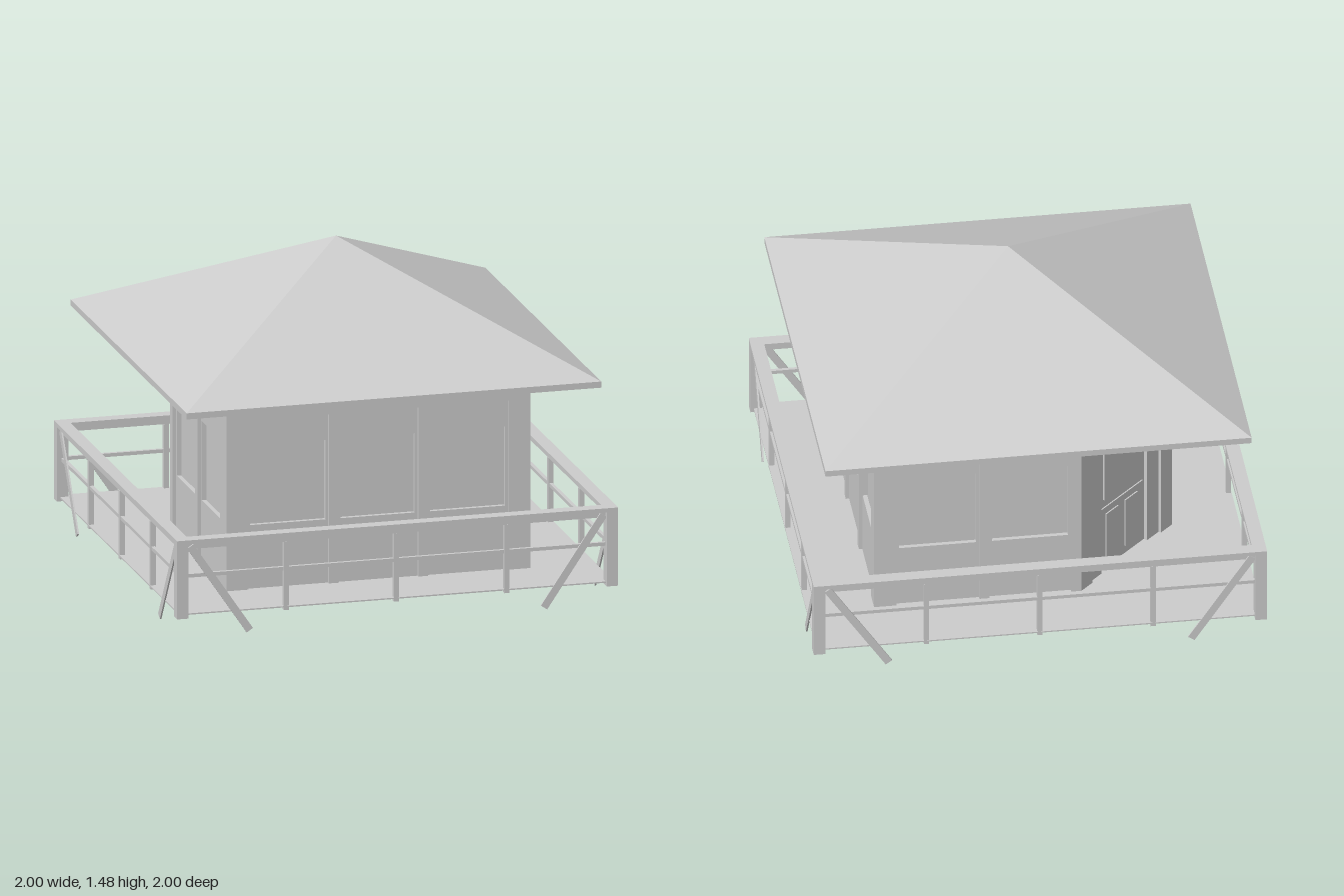
import * as THREE from 'three';

const grey = new THREE.MeshStandardMaterial({ color: 0xcccccc });
grey.name = 'plain grey';

// Box given by its min and max on each axis
function box(parent, name, x0, x1, y0, y1, z0, z1) {
  const mesh = new THREE.Mesh(new THREE.BoxGeometry(x1 - x0, y1 - y0, z1 - z0), grey);
  mesh.position.set((x0 + x1) / 2, (y0 + y1) / 2, (z0 + z1) / 2);
  mesh.name = name;
  parent.add(mesh);
  return mesh;
}

function rectangle(Type, x0, x1, y0, y1) {
  const r = new Type();
  r.moveTo(x0, y0);
  r.lineTo(x1, y0);
  r.lineTo(x1, y1);
  r.lineTo(x0, y1);
  r.closePath();
  return r;
}

const FLOOR = 0.11, HEAD = 0.88, EAVE = 0.98, W = 0.69;
const BAYS = [[-0.59, -0.225], [-0.18, 0.18], [0.225, 0.59]];

// One wall facing +z, with a window in each listed bay
function windowWall(name, bays) {
  const wall = new THREE.Group();
  wall.name = name;
  const first = bays[0], last = bays[bays.length - 1];
  const left = first === BAYS[0] ? -0.59 : -0.225;
  const right = last === BAYS[2] ? 0.59 : 0.225;
  box(wall, 'header', left, right, HEAD, EAVE, W - 0.05, W);
  for (const m of [-0.2025, 0.2025]) {
    box(wall, 'mullion', m - 0.0225, m + 0.0225, FLOOR, HEAD, W - 0.05, W);
  }
  for (const [a, b] of bays) {
    const panel = rectangle(THREE.Shape, a, b, FLOOR, HEAD);
    panel.holes.push(rectangle(THREE.Path, a + 0.012, b - 0.012, 0.4, 0.76));
    const geo = new THREE.ExtrudeGeometry(panel, { depth: 0.02, bevelEnabled: false });
    const infill = new THREE.Mesh(geo, grey);
    infill.name = 'bayPanel';
    infill.position.z = W - 0.035;
    wall.add(infill);
    box(wall, 'windowPane', a, b, 0.38, 0.78, W - 0.05, W - 0.04);
  }
  return wall;
}

// Diagonal entrance across one corner, built facing +z
function entrance() {
  const g = new THREE.Group();
  g.name = 'entrance';
  const half = 0.329;
  box(g, 'doorHeader', -half, half, HEAD, EAVE, -0.05, 0);
  box(g, 'doorLintel', -0.25, 0.25, 0.84, HEAD, -0.05, -0.012);
  for (const s of [-1, 1]) {
    const span = (a, b) => [Math.min(s * a, s * b), Math.max(s * a, s * b)];
    box(g, 'doorPost', ...span(0.25, half), FLOOR, HEAD, -0.05, 0);
    box(g, 'doorJamb', ...span(0.165, 0.25), FLOOR, 0.84, -0.05, -0.012);
    box(g, 'lowerDoorPanel', ...span(0.025, 0.115), 0.15, 0.39, -0.03, -0.024);
  }
  box(g, 'door', -0.165, 0.165, FLOOR, 0.84, -0.05, -0.03);
  box(g, 'doorLockRail', -0.15, 0.15, 0.415, 0.43, -0.03, -0.024);
  box(g, 'upperDoorPanel', -0.13, 0.13, 0.47, 0.76, -0.03, -0.024);
  g.position.set(-0.4575, 0, -0.4575);
  g.rotation.y = -Math.PI * 0.75;
  return g;
}

// One side of the gallery railing, facing +z
function railing() {
  const g = new THREE.Group();
  g.name = 'railing';
  box(g, 'capRail', -1, 0.94, 0.43, 0.448, 0.94, 1);
  box(g, 'cornerPost', -1, -0.948, 0.093, 0.43, 0.948, 1);
  box(g, 'upperRail', -0.948, 0.948, 0.403, 0.43, 0.962, 0.982);
  box(g, 'middleRail', -0.948, 0.948, 0.273, 0.289, 0.964, 0.98);
  for (const x of [-0.5, 0, 0.5]) {
    box(g, 'baluster', x - 0.0115, x + 0.0115, 0.093, 0.403, 0.96, 0.983);
  }
  // Slanted braces
  const dx = 0.27, dy = 0.4;
  for (const s of [-1, 1]) {
    const len = Math.hypot(dx, dy);
    const brace = box(g, 'brace', -0.017, 0.017, -len / 2, len / 2, 0.982, 0.989);
    brace.position.x = s * 0.802;
    brace.position.y = 0.216;
    brace.rotation.z = -s * Math.atan2(dx, dy);
  }
  return g;
}

export function createModel() {
  const model = new THREE.Group();
  model.name = 'lookoutCabin';

  box(model, 'deck', -0.985, 0.985, 0.106, 0.112, -0.985, 0.985);

  // Four railing sides
  for (let i = 0; i < 4; i++) {
    const side = railing();
    side.rotation.y = i * Math.PI / 2;
    model.add(side);
  }

  // Walls; the back right corner is cut away for the door
  const walls = [
    ['frontWall', 0, BAYS],
    ['plusXWall', Math.PI / 2, BAYS],
    ['backWall', Math.PI, BAYS.slice(0, 2)],
    ['minusXWall', -Math.PI / 2, BAYS.slice(1)],
  ];
  for (const [name, angle, bays] of walls) {
    const wall = windowWall(name, bays);
    wall.rotation.y = angle;
    model.add(wall);
  }
  for (const [sx, sz] of [[1, 1], [-1, 1], [1, -1]]) {
    const x = sx * 0.64, z = sz * 0.64;
    box(model, 'cornerColumn', x - 0.05, x + 0.05, FLOOR, EAVE, z - 0.05, z + 0.05);
  }
  model.add(entrance());

  // Roof: ceiling, eave slab and pyramid
  box(model, 'ceiling', -W, W, 0.975, 0.985, -W, W);
  box(model, 'eaves', -0.94, 0.94, EAVE, 1.008, -0.94, 0.94);
  const cone = new THREE.ConeGeometry(0.94 * Math.SQRT2, 0.477, 4, 1, true).toNonIndexed();
  cone.computeVertexNormals();
  const roof = new THREE.Mesh(cone, grey);
  roof.name = 'roof';
  roof.rotation.y = Math.PI / 4;
  roof.position.y = 1.008 + 0.477 / 2;
  model.add(roof);

  return model;
}
